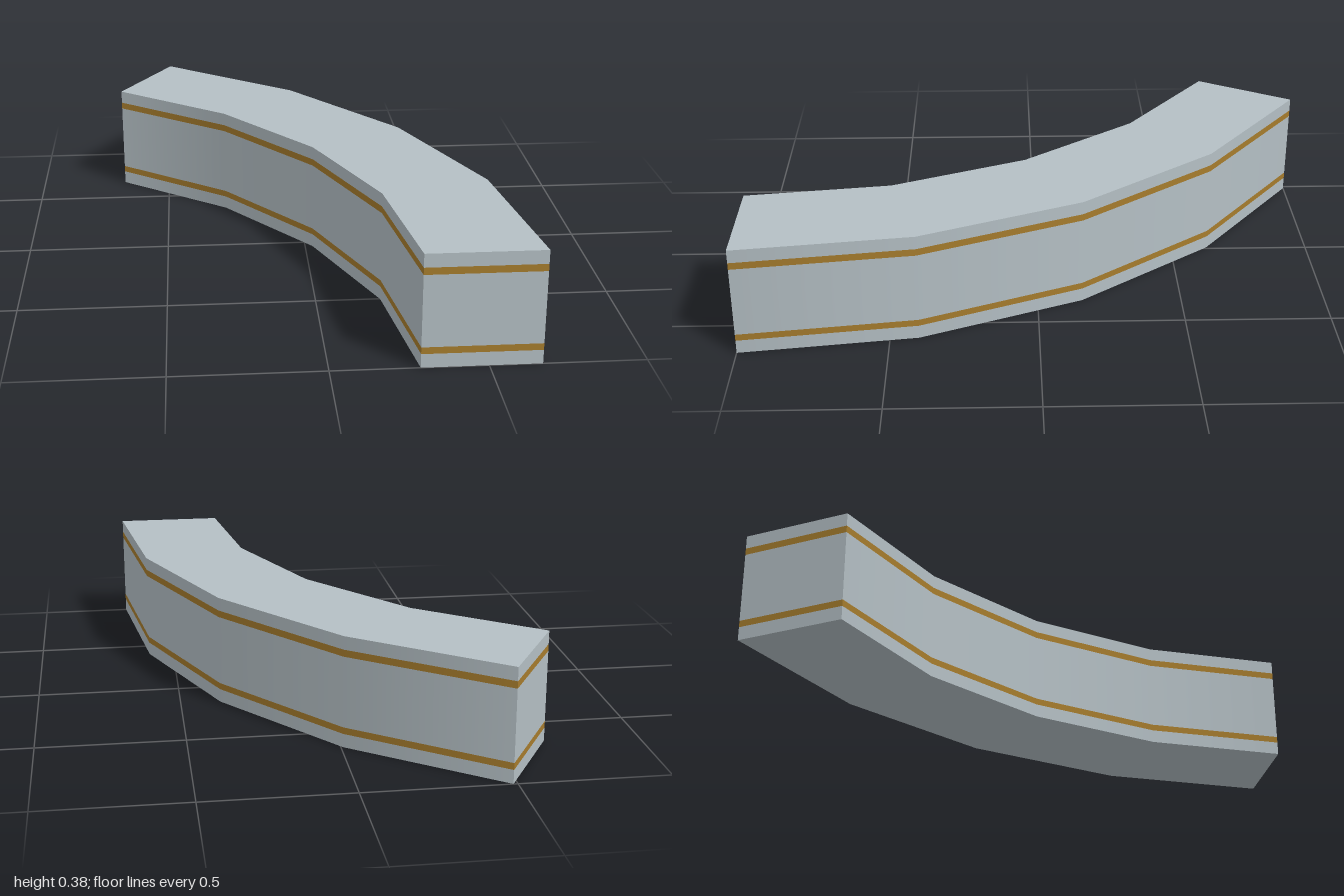
import * as THREE from 'three';

// Curved rectangular duct: a 60 degree bend swept about a vertical axis
const INNER = 1.925, OUTER = 2.309, HEIGHT = 0.385;
const ARC = Math.PI / 3, SEGMENTS = 4;
const CENTRE_X = -1.64, CENTRE_Z = 1;

const bodyMaterial = new THREE.MeshStandardMaterial({ color: 0xb4bfc4 });
const stripeMaterial = new THREE.MeshStandardMaterial({ color: 0xa67c2d });

export function createModel() {
  const model = new THREE.Group();
  model.name = 'curvedDuct';
  const bend = new THREE.Group();
  bend.name = 'bend';
  bend.position.set(CENTRE_X, 0, CENTRE_Z);
  model.add(bend);

  const add = (name, geometry, material) => {
    const mesh = new THREE.Mesh(geometry, material);
    mesh.name = name;
    bend.add(mesh);
  };

  // One face swept along the bend from a profile edge (radius, height)
  const sweep = (r0, y0, r1, y1) => new THREE.LatheGeometry(
    [new THREE.Vector2(r0, y0), new THREE.Vector2(r1, y1)], SEGMENTS, Math.PI / 2, ARC);

  // Flat end cap strip; the far one is turned round and swung along the arc
  const cap = (y0, y1, far) => {
    const g = new THREE.PlaneGeometry(OUTER - INNER, y1 - y0);
    if (far) g.rotateY(Math.PI);
    g.translate((INNER + OUTER) / 2, (y0 + y1) / 2, 0);
    if (far) g.rotateY(ARC);
    return g;
  };

  // Walls in horizontal bands: the odd ones are the flush stripes
  const levels = [0, 0.047, 0.07, 0.315, 0.339, HEIGHT];
  const names = ['lowerWall', 'lowerStripe', 'middleWall', 'upperStripe', 'upperWall'];
  names.forEach((name, i) => {
    const y0 = levels[i], y1 = levels[i + 1];
    const material = i % 2 ? stripeMaterial : bodyMaterial;
    add(name + 'Outer', sweep(OUTER, y0, OUTER, y1), material);
    add(name + 'Inner', sweep(INNER, y1, INNER, y0), material);
    add(name + 'FrontEnd', cap(y0, y1, false), material);
    add(name + 'BackEnd', cap(y0, y1, true), material);
  });

  // Top and bottom panels
  add('topPanel', sweep(OUTER, HEIGHT, INNER, HEIGHT), bodyMaterial);
  add('bottomPanel', sweep(INNER, 0, OUTER, 0), bodyMaterial);

  return model;
}
